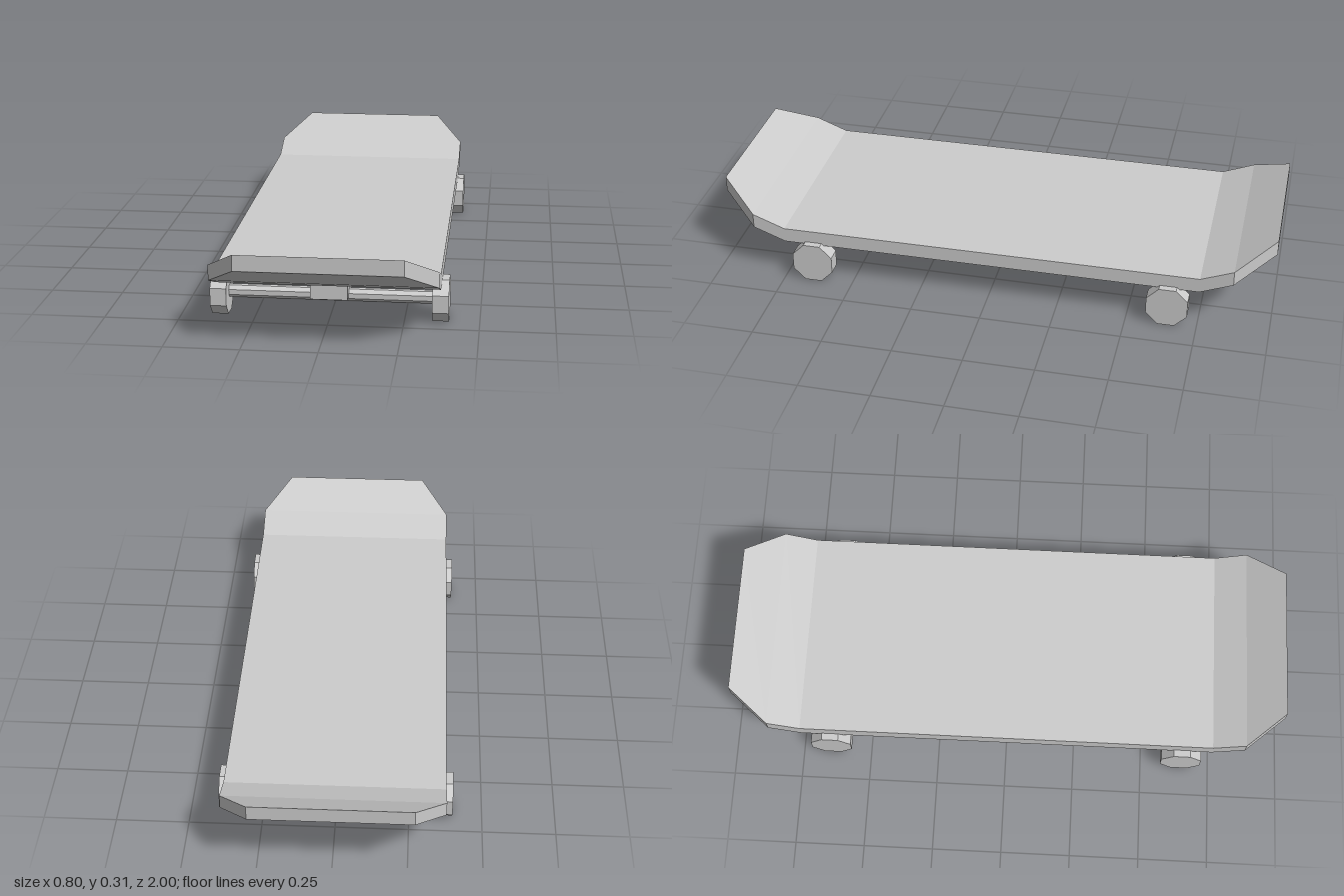
import * as THREE from 'three';

const grey = new THREE.MeshStandardMaterial({ color: 0xcccccc });
grey.name = 'plain grey';
grey.flatShading = true;

// Deck: rectangular cross-sections along z, [z, half width, bottom y, top y]
function deckGeometry() {
  const half = [
    [0.75, 0.373, 0.137, 0.19],
    [0.865, 0.373, 0.182, 0.235],
    [1, 0.27, 0.261, 0.315],
  ];
  const sections = [...half.map(([z, ...rest]) => [-z, ...rest]).reverse(), ...half];
  const positions = [];
  const index = [];
  for (const [z, w, low, high] of sections) {
    positions.push(-w, low, z, w, low, z, w, high, z, -w, high, z);
  }
  for (let s = 0; s < sections.length - 1; s++) {
    for (let i = 0; i < 4; i++) {
      const a = s * 4 + i, b = s * 4 + (i + 1) % 4;
      index.push(a, b, b + 4, a, b + 4, a + 4);
    }
  }
  // Tail and nose end faces
  const e = (sections.length - 1) * 4;
  index.push(0, 2, 1, 0, 3, 2, e, e + 1, e + 2, e, e + 2, e + 3);
  const indexed = new THREE.BufferGeometry();
  indexed.setAttribute('position', new THREE.Float32BufferAttribute(positions, 3));
  indexed.setIndex(index);
  const geometry = indexed.toNonIndexed();
  geometry.computeVertexNormals();
  return geometry;
}

// Eight-sided bar along x with flat top and bottom; size is the distance across flats
function octagonBar(size, length) {
  const radius = size / 2 / Math.cos(Math.PI / 8);
  return new THREE.CylinderGeometry(radius, radius, length, 8)
    .rotateY(Math.PI / 8)
    .rotateZ(Math.PI / 2);
}

function addPart(parent, name, geometry, x = 0, y = 0, z = 0) {
  const mesh = new THREE.Mesh(geometry, grey);
  mesh.name = name;
  mesh.position.set(x, y, z);
  parent.add(mesh);
}

export function createModel() {
  const model = new THREE.Group();
  model.name = 'skateboard';
  addPart(model, 'deck', deckGeometry());

  // Trucks: mounting block, axle and a pair of wheels
  for (const [name, z] of [['frontTruck', 0.643], ['rearTruck', -0.643]]) {
    const truck = new THREE.Group();
    truck.name = name;
    truck.position.z = z;
    addPart(truck, 'mountingBlock', new THREE.BoxGeometry(0.124, 0.068, 0.124), 0, 0.107);
    addPart(truck, 'axle', octagonBar(0.042, 0.7), 0, 0.074);
    for (const side of [1, -1]) {
      addPart(truck, side > 0 ? 'leftWheel' : 'rightWheel',
        octagonBar(0.145, 0.055), side * 0.3705, 0.0725);
    }
    model.add(truck);
  }
  return model;
}
